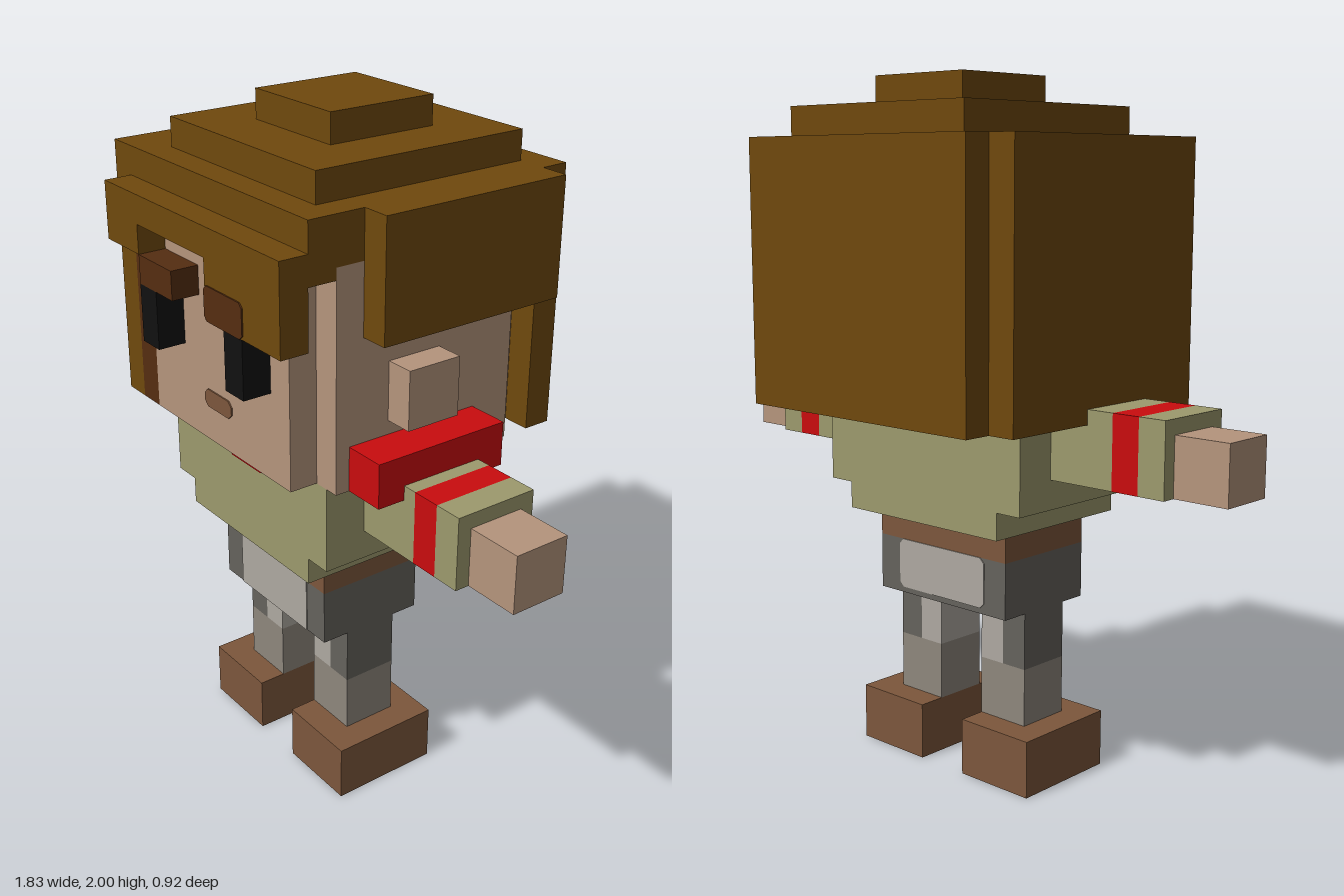
import * as THREE from 'three';

const mat = (name, color) => {
  const m = new THREE.MeshStandardMaterial({ color });
  m.name = name;
  return m;
};

export function createModel() {
  const model = new THREE.Group();
  model.name = 'blockFigure';

  const hair = mat('hairBrown', 0x70490d);
  const darkHair = mat('darkBrown', 0x552d11);
  const skin = mat('skin', 0xb5957d);
  const black = mat('black', 0x111111);
  const red = mat('red', 0xca0c0e);
  const shirt = mat('oliveShirt', 0x9d9a6d);
  const leather = mat('leatherBrown', 0x7d573c);
  const darkGrey = mat('darkGrey', 0x65625c);
  const midGrey = mat('midGrey', 0x8e877d);
  const lightGrey = mat('lightGrey', 0xaea9a1);

  const group = (name) => {
    const g = new THREE.Group();
    g.name = name;
    model.add(g);
    return g;
  };

  // Box given by its extents on each axis
  const box = (parent, name, material, [x0, x1], [y0, y1], [z0, z1]) => {
    const mesh = new THREE.Mesh(new THREE.BoxGeometry(x1 - x0, y1 - y0, z1 - z0), material);
    mesh.position.set((x0 + x1) / 2, (y0 + y1) / 2, (z0 + z1) / 2);
    mesh.name = name;
    parent.add(mesh);
    return mesh;
  };

  // Thin painted plate with clipped corners, facing +z
  const plate = (parent, name, material, [x0, x1], [y0, y1], z, cut) => {
    const s = new THREE.Shape([
      [x0 + cut, y0], [x1 - cut, y0], [x1, y0 + cut], [x1, y1 - cut],
      [x1 - cut, y1], [x0 + cut, y1], [x0, y1 - cut], [x0, y0 + cut],
    ].map(([x, y]) => new THREE.Vector2(x, y)));
    const mesh = new THREE.Mesh(new THREE.ExtrudeGeometry(s, { depth: 0.005, bevelEnabled: false }), material);
    mesh.position.z = z;
    mesh.name = name;
    parent.add(mesh);
  };

  // Extents mirrored to either side
  const side = (s, a, b) => (s > 0 ? [a, b] : [-b, -a]);

  // Head with stepped corners
  const head = group('head');
  box(head, 'face', skin, [-0.333, 0.333], [1.083, 1.7], [-0.375, 0.375]);
  box(head, 'cheeks', skin, [-0.417, 0.417], [1.083, 1.7], [-0.292, 0.292]);
  box(head, 'leftEar', skin, [0.417, 0.5], [1.25, 1.417], [-0.04, 0.125]);
  for (const s of [1, -1]) {
    box(head, s > 0 ? 'leftEye' : 'rightEye', black, side(s, 0.167, 0.25), [1.333, 1.5], [0.375, 0.458]);
  }
  plate(head, 'mouth', leather, [-0.068, 0.064], [1.185, 1.237], 0.374, 0.015);

  // Hair: crown tiers, side and back panels, uneven fringe
  const hairGroup = group('hair');
  box(hairGroup, 'hairCap', hair, [-0.417, 0.417], [1.667, 1.833], [-0.375, 0.375]);
  box(hairGroup, 'middleTier', hair, [-0.333, 0.333], [1.833, 1.917], [-0.375, 0.292]);
  box(hairGroup, 'topTier', hair, [-0.167, 0.167], [1.917, 2], [-0.208, 0.125]);
  box(hairGroup, 'backHair', hair, [-0.417, 0.417], [1.083, 1.833], [-0.458, -0.375]);
  box(hairGroup, 'rightSideHair', hair, [-0.5, -0.417], [1.083, 1.833], [-0.375, 0.375]);
  box(hairGroup, 'leftSideHair', hair, [0.417, 0.5], [1.5, 1.833], [-0.375, 0.208]);
  [[-0.417, -0.25, 1.583], [-0.25, 0.083, 1.667], [0.083, 0.417, 1.5]].forEach(([x0, x1, y]) =>
    box(hairGroup, 'fringe', hair, [x0, x1], [y, 1.75], [0.375, 0.458]));
  box(hairGroup, 'sideburn', darkHair, [-0.417, -0.333], [1.083, 1.667], [0.292, 0.375]);
  box(hairGroup, 'rightBrow', darkHair, [-0.25, -0.083], [1.5, 1.583], [0.375, 0.458]);
  plate(hairGroup, 'leftBrow', darkHair, [0.083, 0.257], [1.5, 1.597], 0.457, 0.012);

  // Torso and neck scarf
  const torso = group('torso');
  box(torso, 'chest', shirt, [-0.375, 0.375], [0.833, 1.083], [-0.208, 0.292]);
  box(torso, 'shirtHem', shirt, [-0.292, 0.292], [0.755, 0.833], [-0.208, 0.292]);
  plate(torso, 'scarfKnot', red, [-0.085, 0.083], [1.003, 1.083], 0.29, 0.012);
  box(torso, 'shoulderScarf', red, [0.417, 0.54], [1.083, 1.21], [-0.167, 0.25]);

  // Arms with striped sleeves
  for (const s of [1, -1]) {
    const arm = group(s > 0 ? 'leftArm' : 'rightArm');
    [['sleeve', shirt, 0.375, 0.583], ['sleeveStripe', red, 0.583, 0.667], ['cuff', shirt, 0.667, 0.75]]
      .forEach(([name, m, a, b]) => box(arm, name, m, side(s, a, b), [0.917, 1.125], [-0.083, 0.167]));
    box(arm, 'hand', skin, side(s, 0.75, 0.915), [0.917, 1.083], [-0.042, 0.125]);
  }

  // Hips with belt and pale centre panels
  const hips = group('hips');
  box(hips, 'trousers', darkGrey, [-0.25, 0.25], [0.503, 0.667], [-0.125, 0.208]);
  box(hips, 'belt', leather, [-0.25, 0.25], [0.667, 0.757], [-0.125, 0.208]);
  plate(hips, 'frontPanel', lightGrey, [-0.167, 0.167], [0.503, 0.672], 0.206, 0.003);
  plate(hips, 'beltGap', lightGrey, [-0.083, 0.083], [0.66, 0.757], 0.206, 0.003);
  plate(hips, 'backPanel', lightGrey, [-0.17, 0.17], [0.52, 0.667], -0.128, 0.015);

  // Legs and shoes
  for (const s of [1, -1]) {
    const leg = group(s > 0 ? 'leftLeg' : 'rightLeg');
    box(leg, 'innerThigh', lightGrey, side(s, 0.083, 0.167), [0.337, 0.503], [-0.042, 0.125]);
    box(leg, 'outerThigh', darkGrey, side(s, 0.167, 0.25), [0.337, 0.503], [-0.042, 0.125]);
    box(leg, 'shin', midGrey, side(s, 0.083, 0.25), [0.167, 0.337], [-0.042, 0.125]);
    box(leg, 'shoe', leather, side(s, 0.083, 0.333), [0, 0.167], [-0.125, 0.208]);
  }

  return model;
}
